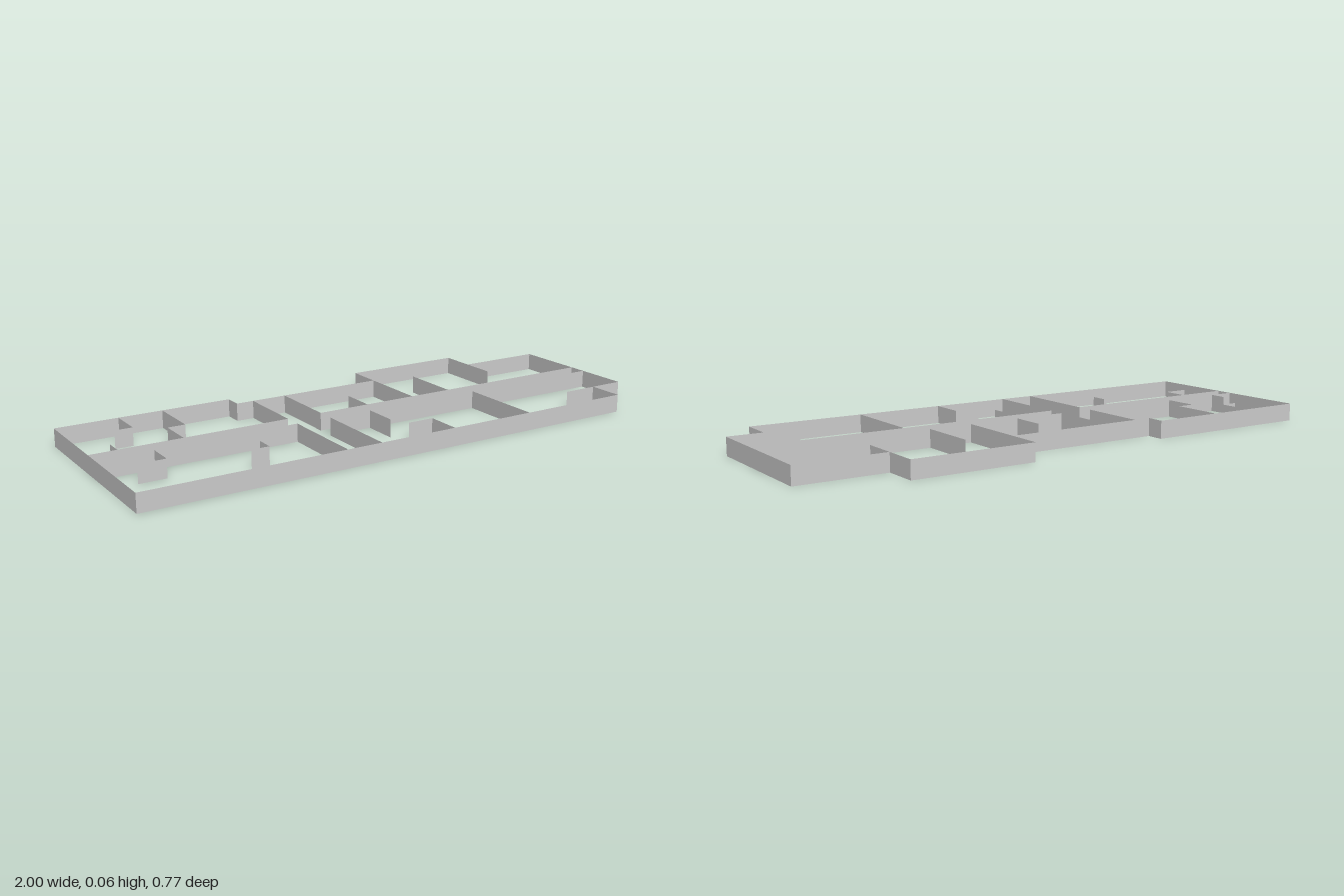
import * as THREE from 'three';

const U = 1 / 31;        // floor-plan grid step
const HEIGHT = 2 * U;

// Wall runs as polylines of [x, z] grid points
const plan = {
  outerWall: [
    [[-31, 12], [-31, -10], [-11, -10], [-11, -8], [7, -8], [7, -12], [21, -12], [21, -8], [31, -8],
      [31, 8], [27, 8], [27, 12], [-31, 12]],
  ],
  corridorWall: [
    [[-31, 0], [-9, 0]], [[-31, 2], [-9, 2]],
    [[-5, 0], [31, 0]], [[-5, 2], [31, 2]],
  ],
  crossPassageWall: [
    [[-9, 0], [-9, -8]], [[-5, 0], [-5, -8]],
    [[-9, 2], [-9, 12]], [[-5, 2], [-5, 12]],
  ],
  roomDivider: [
    [[7, -8], [7, 0]], [[14, 2], [14, 12]],
  ],
  backPartition: [
    [[-24, -10], [-24, -6], [-26, -6]],
    [[-19, -10], [-19, -4], [-21, -4], [-21, 0]],
    [[-28, -2], [-28, 0]],
    [[1, -4], [1, 0]],
    [[12, -7], [12, 0]],
    [[21, -8], [21, -4]],
  ],
  frontPartition: [
    [[-28, 5], [-25, 5], [-25, 2]],
    [[-17, 7], [-15, 7], [-15, 5]],
    [[0, 2], [0, 6]],
    [[1, 8], [4, 8], [4, 12]],
    [[23, 8], [27, 8]],
  ],
};

export function createModel() {
  const model = new THREE.Group();
  model.name = 'floorPlanWalls';
  const material = new THREE.MeshStandardMaterial({ color: 0xcccccc, side: THREE.DoubleSide });

  // One upright sheet between two grid points
  function wall(name, [x0, z0], [x1, z1]) {
    const length = Math.hypot(x1 - x0, z1 - z0) * U;
    const mesh = new THREE.Mesh(new THREE.PlaneGeometry(length, HEIGHT), material);
    mesh.name = name;
    mesh.position.set((x0 + x1) / 2 * U, HEIGHT / 2, (z0 + z1) / 2 * U);
    mesh.rotation.y = -Math.atan2(z1 - z0, x1 - x0);
    return mesh;
  }

  for (const [name, runs] of Object.entries(plan)) {
    const group = new THREE.Group();
    group.name = name + 's';
    for (const run of runs) {
      for (let i = 1; i < run.length; i++) group.add(wall(name, run[i - 1], run[i]));
    }
    model.add(group);
  }
  return model;
}
